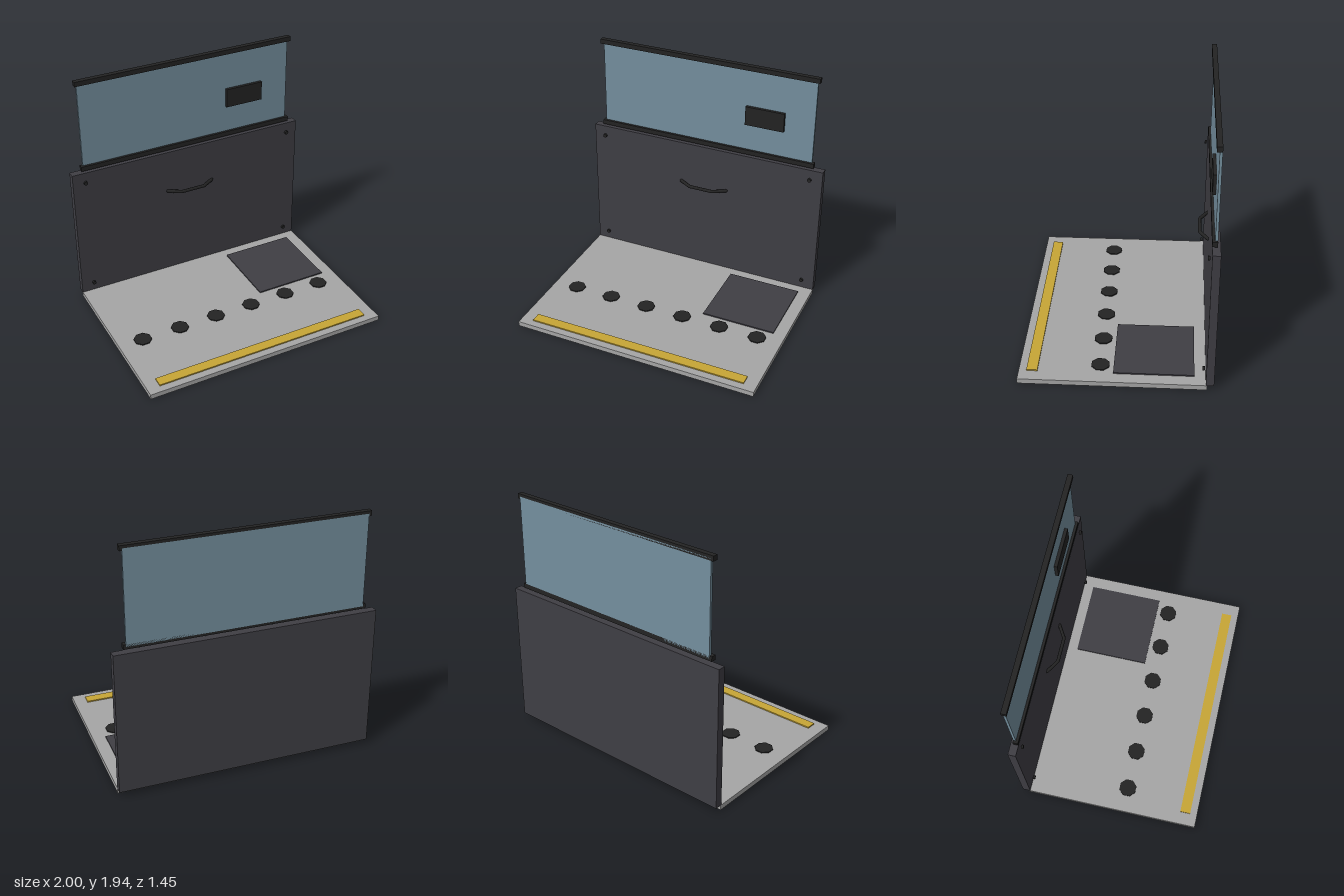
import * as THREE from 'three';

const mat = (name, color) => {
  const m = new THREE.MeshStandardMaterial({ color });
  m.name = name;
  return m;
};

export function createModel() {
  const grey = mat('light grey', 0xa6a6a6);
  const charcoal = mat('charcoal', 0x3f3e44);
  const black = mat('black', 0x232323);
  const glass = mat('blue glass', 0x748f9e);
  const yellow = mat('yellow', 0xc7a636);

  const model = new THREE.Group();
  const add = (name, geometry, material) => {
    const mesh = new THREE.Mesh(geometry, material);
    mesh.name = name;
    model.add(mesh);
    return mesh;
  };
  // Box given by its lower and upper limits on each axis
  const box = (name, material, [x0, x1], [y0, y1], [z0, z1]) =>
    add(name, new THREE.BoxGeometry(x1 - x0, y1 - y0, z1 - z0), material)
      .position.set((x0 + x1) / 2, (y0 + y1) / 2, (z0 + z1) / 2);

  // Floor panel and upright panel
  box('floorPanel', grey, [-1, 1], [0, 0.04], [-0.672, 0.724]);
  box('backPanel', charcoal, [-1, 1], [0.04, 1.16], [-0.724, -0.664]);

  // Inlays on the floor
  box('floorPad', charcoal, [0.3, 0.9], [0.038, 0.05], [-0.58, 0.02]);
  box('warningStrip', yellow, [-0.9, 0.9], [0.038, 0.05], [0.584, 0.666]);
  for (let i = 0; i < 6; i++) {
    const disc = new THREE.CylinderGeometry(0.072, 0.072, 0.01, 8).toNonIndexed();
    disc.rotateY(Math.PI / 8);
    disc.computeVertexNormals();
    add('floorDisc', disc, black).position.set(-0.8 + i * 0.32, 0.043, 0.12);
  }

  // Window with rails and a small control plate
  box('window', glass, [-0.9, 0.9], [1.2, 1.92], [-0.702, -0.682]);
  for (const y of [1.2, 1.922])
    box('windowRail', black, [-0.92, 0.92], [y - 0.019, y + 0.019], [-0.702, -0.662]);
  box('windowPlate', black, [0.34, 0.66], [1.443, 1.6], [-0.682, -0.657]);

  // Corner studs just proud of the upright panel
  for (const x of [-0.9, 0.9]) {
    for (const y of [0.12, 1.08]) {
      const stud = add('cornerStud', new THREE.CylinderGeometry(0.016, 0.016, 0.016, 8), black);
      stud.rotation.x = Math.PI / 2;
      stud.position.set(x, y, -0.646);
    }
  }

  // Bent pull handle
  const bends = [[-0.2, -0.66], [-0.1, -0.599], [0.1, -0.599], [0.2, -0.66]]
    .map(([x, z]) => new THREE.Vector3(x, 0.803, z));
  const path = new THREE.CurvePath();
  for (let i = 0; i < 3; i++) path.add(new THREE.LineCurve3(bends[i], bends[i + 1]));
  add('handle', new THREE.TubeGeometry(path, 40, 0.0135, 8, false), black);
  for (const end of [bends[0], bends[3]])
    add('handleEnd', new THREE.SphereGeometry(0.0135, 8, 6), black).position.copy(end);

  return model;
}
